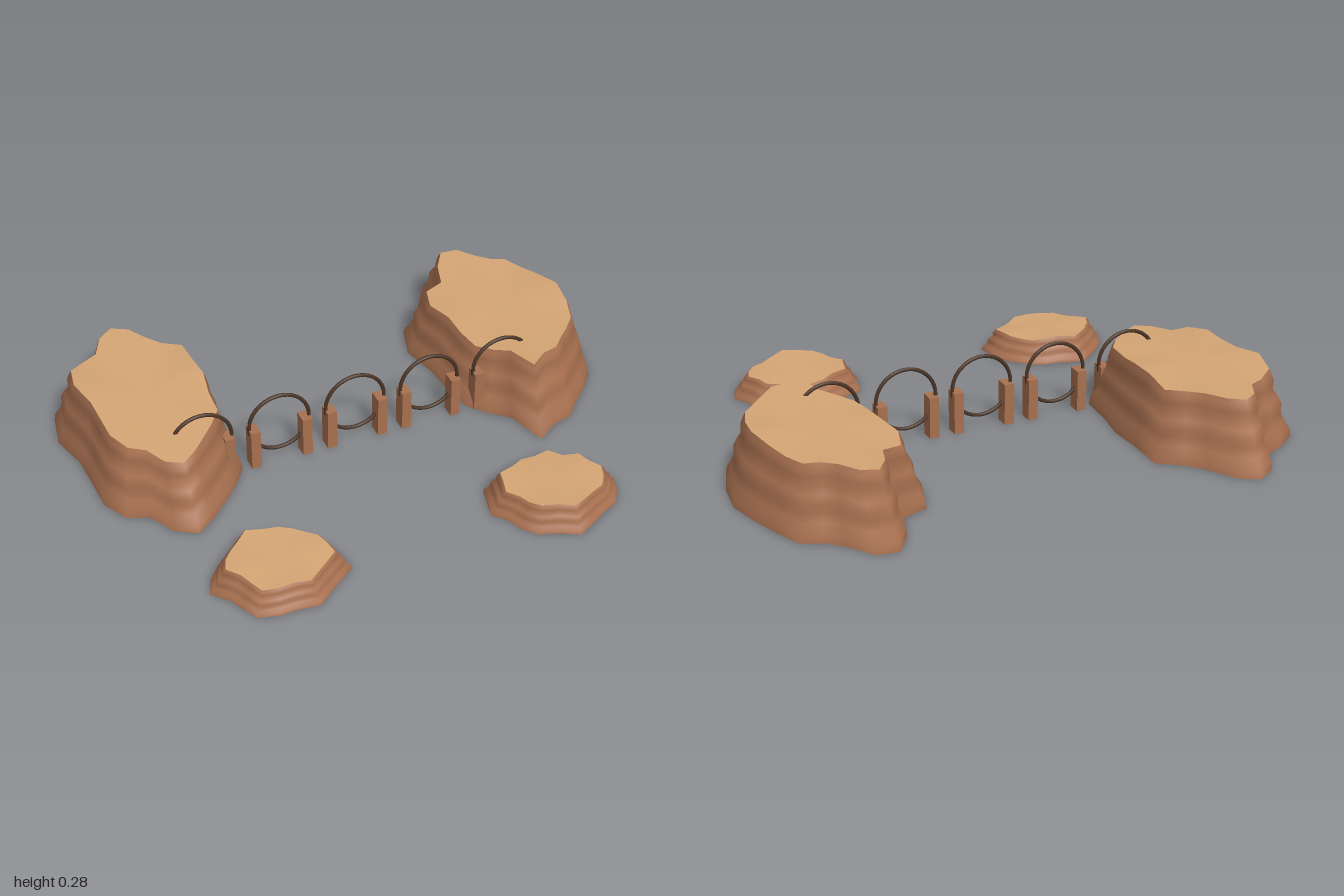
import * as THREE from 'three';

const cliffMat = new THREE.MeshStandardMaterial({ color: 0xa87050, side: THREE.DoubleSide });
cliffMat.name = 'red sandstone';
const capMat = new THREE.MeshStandardMaterial({ color: 0xd4a574, side: THREE.DoubleSide });
capMat.name = 'pale sand';
const ringMat = new THREE.MeshStandardMaterial({ color: 0x4a3426 });
ringMat.name = 'dark bronze';

// Cliff profile: [horizontal scale, fraction of height], stepping inwards in three strata
const STRATA = [[1, 0], [0.985, 0.12], [0.93, 0.25], [0.895, 0.37], [0.9, 0.48],
  [0.86, 0.6], [0.81, 0.7], [0.815, 0.83], [0.79, 0.93], [0.765, 1]];

function surface(positions, indices) {
  const g = new THREE.BufferGeometry();
  g.setAttribute('position', new THREE.Float32BufferAttribute(positions, 3));
  g.setIndex(indices);
  g.computeVertexNormals();
  return g;
}

function part(name, geometry, material) {
  const m = new THREE.Mesh(geometry, material);
  m.name = name;
  return m;
}

// Hollow rock: stepped cliff wall with a fan-shaped sandy cap.
// crags scale an ellipse at even steps, from the back round by the model's left.
function makeRock({ name, centre: [cx, cz], radius: [rx, rz], capY, rim, crags }) {
  const n = crags.length;
  const wall = [], wallIdx = [], cap = [cx, capY, cz], capIdx = [];
  STRATA.forEach(([s, t], k) => {
    crags.forEach((r, i) => {
      const turn = (i / n) * Math.PI * 2 - Math.PI / 2;
      const dx = rx * r * Math.cos(turn), dz = rz * r * Math.sin(turn);
      const p = [cx + dx * s, rim(Math.atan2(dz, dx)) * t, cz + dz * s];
      wall.push(...p);
      const j = (i + 1) % n;
      if (k < STRATA.length - 1) {
        const a = k * n + i, b = k * n + j;
        wallIdx.push(a, a + n, b, b, a + n, b + n);
      } else {
        cap.push(...p);
        capIdx.push(0, j + 1, i + 1);
      }
    });
  });
  const rock = new THREE.Group();
  rock.name = name;
  rock.add(part('cliffWall', surface(wall, wallIdx), cliffMat));
  rock.add(part('sandyCap', surface(cap, capIdx), capMat));
  return rock;
}

// Upright ring held between two square posts
function makeGate(x) {
  const gate = new THREE.Group();
  gate.name = 'ringGate';
  const ring = part('ring', new THREE.TorusGeometry(0.113, 0.007, 8, 40), ringMat);
  ring.position.y = 0.158;
  gate.add(ring);
  for (const side of [-1, 1]) {
    const post = part('post', new THREE.BoxGeometry(0.036, 0.155, 0.054), cliffMat);
    post.position.set(side * 0.0975, 0.0775, 0);
    gate.add(post);
  }
  gate.position.set(x, 0, -0.013);
  return gate;
}

export function createModel() {
  const model = new THREE.Group();
  model.name = 'canyonRingCourse';

  // Two tall mesas
  model.add(makeRock({
    name: 'rightMesa', centre: [-0.7, -0.26], radius: [0.3, 0.525], capY: 0.232,
    rim: a => 0.243 + 0.012 * Math.cos(2 * a) - 0.008 * Math.sin(a) + 0.008 * Math.cos(5 * a + 1),
    crags: [1.01, 0.96, 0.87, 0.89, 1.05, 0.94, 0.94, 0.91, 0.99, 0.93, 0.9, 0.93,
      1, 0.95, 0.84, 0.95, 0.97, 0.88, 0.87, 1.03, 1.05, 0.91, 0.82, 0.94],
  }));
  model.add(makeRock({
    name: 'leftMesa', centre: [0.69, -0.26], radius: [0.31, 0.525], capY: 0.235,
    rim: a => 0.238 + 0.018 * Math.cos(a + 0.3) + 0.006 * Math.sin(a) + 0.009 * Math.cos(4 * a),
    crags: [0.94, 0.8, 0.78, 0.88, 0.88, 0.92, 1, 0.985, 0.96, 0.88, 0.85, 0.89,
      0.89, 1.04, 0.82, 0.86, 0.93, 0.9, 0.89, 1.03, 1.01, 0.8, 0.91, 1],
  }));

  // Two low rocks in front
  model.add(makeRock({
    name: 'rightLowRock', centre: [-0.525, 0.565], radius: [0.235, 0.2], capY: 0.083,
    rim: a => 0.083 + 0.006 * Math.cos(a + 2) + 0.005 * Math.cos(4 * a),
    crags: [0.88, 0.905, 0.9, 0.88, 0.93, 0.95, 1.05, 0.92, 0.9, 1,
      0.91, 0.96, 1.02, 0.89, 0.87, 1.04, 0.99, 0.95, 0.96, 1.08],
  }));
  model.add(makeRock({
    name: 'leftLowRock', centre: [0.49, 0.57], radius: [0.24, 0.2], capY: 0.083,
    rim: a => 0.083 + 0.006 * Math.cos(a - 2.5) + 0.005 * Math.cos(3 * a + 1),
    crags: [0.95, 1.08, 0.88, 1, 0.92, 1.02, 0.985, 0.97, 0.885, 0.93,
      1.07, 0.93, 0.96, 0.9, 0.85, 0.99, 0.97, 1.06, 0.92, 0.96],
  }));

  // Row of five ring gates between the mesas
  for (let i = -2; i <= 2; i++) model.add(makeGate(-0.005 + 0.29 * i));
  return model;
}
